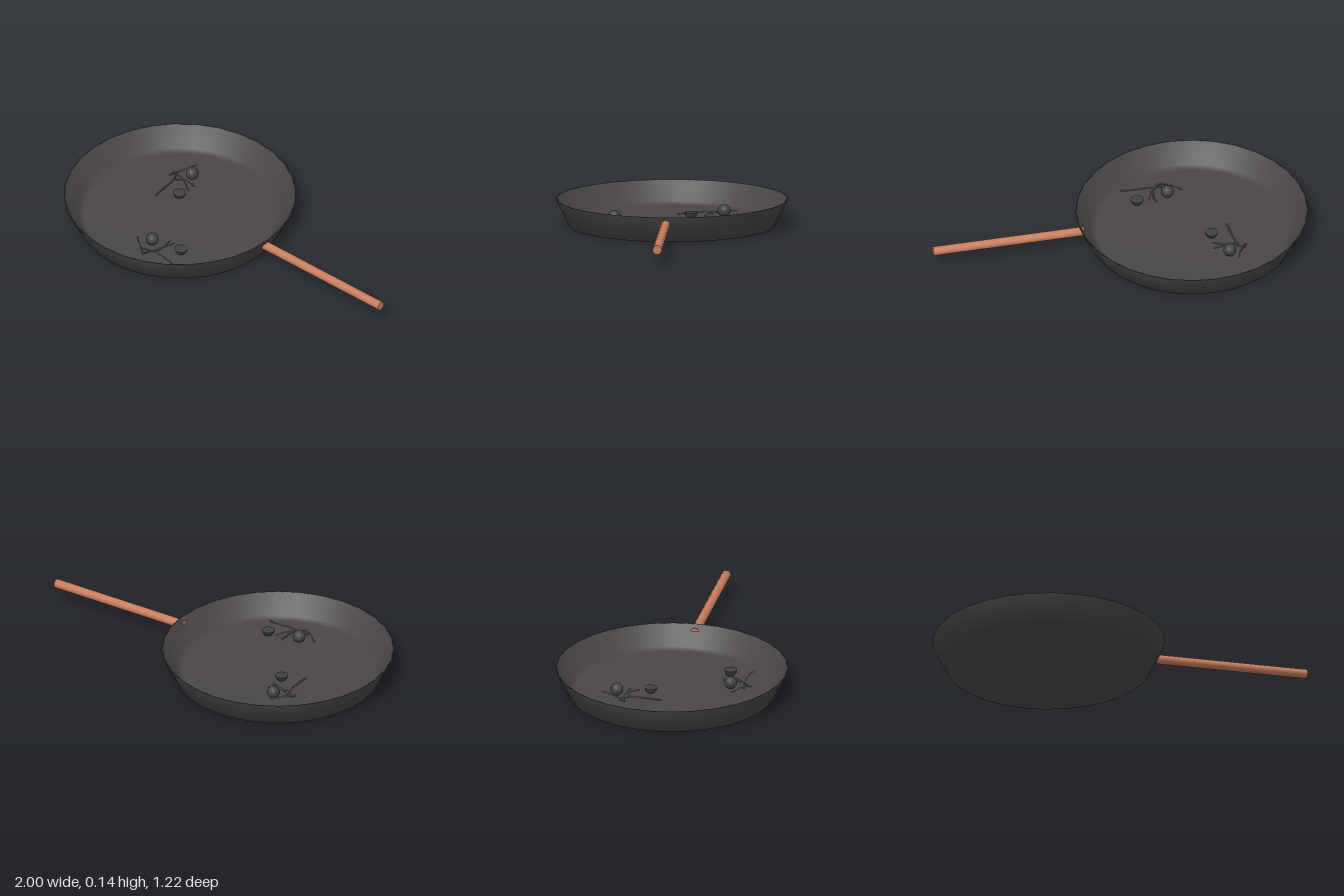
import * as THREE from 'three';

const material = (name, color, side = THREE.FrontSide) => {
  const m = new THREE.MeshStandardMaterial({ color, side });
  m.name = name;
  return m;
};

export function createModel() {
  const group = new THREE.Group();
  const iron = material('cast iron', 0x4a4646);
  const copper = material('copper', 0xc67c5c);
  const berrySkin = material('dark berry', 0x424242);
  const herb = material('grey herb', 0x8c8c88);

  const add = (name, geometry, mat, x = 0, y = 0, z = 0) => {
    const mesh = new THREE.Mesh(geometry, mat);
    mesh.name = name;
    mesh.position.set(x, y, z);
    group.add(mesh);
    return mesh;
  };

  // Pan body: outer base and wall, thin rim, then the inside wall and floor
  const profile = [
    [0, 0], [0.54, 0], [0.61, 0.14], [0.602, 0.14], [0.535, 0.036], [0.505, 0.022], [0, 0.022],
  ].map(([r, y]) => new THREE.Vector2(r, y));
  add('pan', new THREE.LatheGeometry(profile, 32), iron, -0.39, 0, 0);

  // Straight round handle, set into the wall
  const handle = new THREE.CylinderGeometry(0.0245, 0.0245, 0.81, 12);
  handle.rotateZ(Math.PI / 2);
  add('handle', handle, copper, 0.595, 0.1, 0);

  // Whole berries
  for (const [x, z] of [[-0.535, -0.265], [-0.325, 0.3]]) {
    add('berry', new THREE.SphereGeometry(0.034, 12, 9), berrySkin, x, 0.054, z);
  }

  // Halved berries lying cut side up
  const half = [[0, -0.034], [0.018, -0.029], [0.03, -0.016], [0.035, 0], [0.035, 0], [0, 0.002]]
    .map(([r, y]) => new THREE.Vector2(r, y));
  for (const [x, z] of [[-0.475, -0.095], [-0.155, 0.265]]) {
    add('halfBerry', new THREE.LatheGeometry(half, 12), berrySkin, x, 0.055, z);
  }

  // Herb stalks: thin tubes that twist around a smooth path
  const stalk = (points) => {
    const path = new THREE.CatmullRomCurve3(points.map((p) => new THREE.Vector3(...p)));
    const steps = Math.round(path.getLength() / 0.005);
    const twisted = [];
    for (let i = 0; i <= steps; i++) {
      const p = path.getPointAt(i / steps);
      const a = i * 1.9;
      p.add(new THREE.Vector3(Math.cos(a), Math.sin(a), Math.sin(a + 0.8)).multiplyScalar(0.0035));
      twisted.push(p);
    }
    const curve = new THREE.CatmullRomCurve3(twisted);
    add('herbStalk', new THREE.TubeGeometry(curve, steps * 2, 0.0028, 5), herb);
  };
  [
    [[-0.565, 0.05, -0.34], [-0.595, 0.045, -0.27], [-0.635, 0.03, -0.2]],
    [[-0.635, 0.03, -0.225], [-0.56, 0.045, -0.21], [-0.47, 0.035, -0.16]],
    [[-0.61, 0.035, -0.23], [-0.585, 0.04, -0.17], [-0.575, 0.03, -0.015]],
    [[-0.59, 0.035, -0.18], [-0.53, 0.045, -0.205], [-0.465, 0.035, -0.205]],
    [[-0.41, 0.035, 0.32], [-0.35, 0.045, 0.37], [-0.29, 0.03, 0.41]],
    [[-0.215, 0.05, 0.245], [-0.245, 0.045, 0.32], [-0.3, 0.03, 0.4]],
    [[-0.34, 0.03, 0.375], [-0.23, 0.045, 0.365], [-0.09, 0.035, 0.38]],
    [[-0.255, 0.04, 0.24], [-0.25, 0.035, 0.29], [-0.255, 0.035, 0.34]],
  ].forEach(stalk);

  return group;
}
